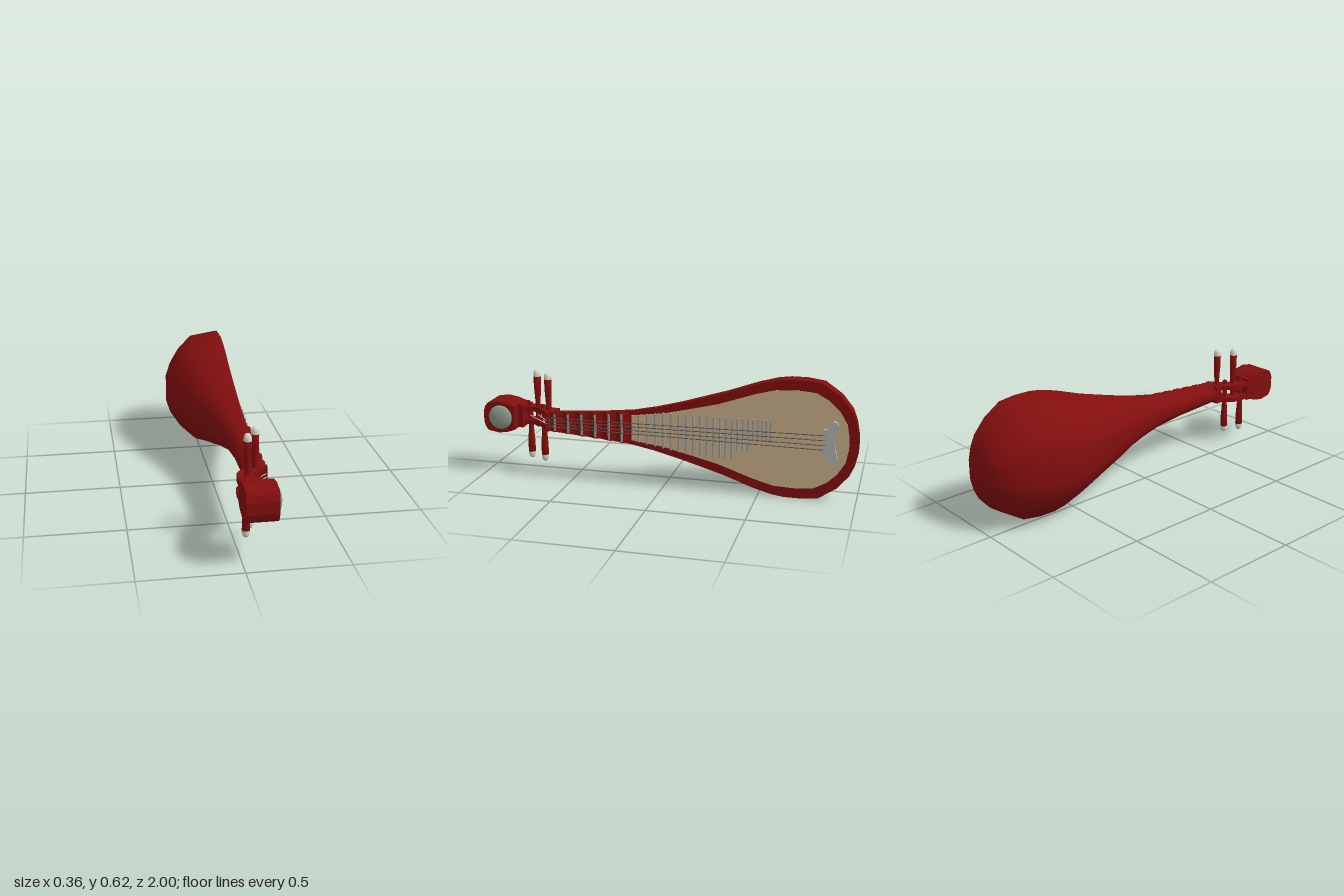
import * as THREE from 'three';

const mat = (name, color, side = THREE.FrontSide) => {
  const m = new THREE.MeshStandardMaterial({ color, side });
  m.name = name;
  return m;
};

export function createModel() {
  const red = mat('red lacquer', 0x820e0e);
  const tan = mat('pale wood', 0xcbb28c);
  const silver = mat('silver grey', 0xb4b4b6);
  const fretGrey = mat('fret grey', 0x98989a);
  const ivory = mat('ivory', 0xdad6ca);
  const jade = mat('jade', 0x8c9a8c);
  const stringGrey = mat('string grey', 0x55544c);

  const root = new THREE.Group();
  root.name = 'lute';
  const MID = 0.31, FACE = 0.147;

  const add = (name, geometry, material, x = 0, y = 0, z = 0) => {
    const m = new THREE.Mesh(geometry, material);
    m.name = name;
    m.position.set(x, y, z);
    root.add(m);
    return m;
  };
  const box = (name, material, x0, x1, y0, y1, z0, z1) =>
    add(name, new THREE.BoxGeometry(x1 - x0, y1 - y0, z1 - z0), material,
      (x0 + x1) / 2, (y0 + y1) / 2, (z0 + z1) / 2);
  // outline in [z, y], thickened along +x from x0
  const slab = (name, material, pts, x0, x1) => {
    const shape = new THREE.Shape(pts.map(([z, y]) => new THREE.Vector2(-z, y)));
    const g = new THREE.ExtrudeGeometry(shape, { depth: x1 - x0, bevelEnabled: false });
    return add(name, g.rotateY(Math.PI / 2), material, x0, 0, 0);
  };
  // outline in [x, z], thickened along +y from y0
  const plank = (name, material, pts, y0, y1) => {
    const shape = new THREE.Shape(pts.map(([x, z]) => new THREE.Vector2(x, -z)));
    const g = new THREE.ExtrudeGeometry(shape, { depth: y1 - y0, bevelEnabled: false });
    return add(name, g.rotateX(-Math.PI / 2), material, 0, y0, 0);
  };
  const rod = (name, material, a, b, r) => {
    const p = new THREE.Vector3(...a), q = new THREE.Vector3(...b);
    const m = add(name, new THREE.CylinderGeometry(r, r, p.distanceTo(q), 6), material);
    m.position.copy(p).add(q).multiplyScalar(0.5);
    m.quaternion.setFromUnitVectors(new THREE.Vector3(0, 1, 0), q.sub(p).normalize());
  };
  // mirrored closed outline from [z, half width]
  const mirrored = (half) => [
    ...half.map(([z, w]) => [z, MID + w]),
    ...half.slice().reverse().map(([z, w]) => [z, MID - w]),
  ];

  // Bowl and neck: stations of z, half width, back depth
  const stations = [
    [-1, 0.001, 0.14], [-1, 0.05, 0.08], [-0.985, 0.115, 0.02], [-0.96, 0.17, -0.05],
    [-0.9, 0.24, -0.1], [-0.81, 0.3, -0.147], [-0.72, 0.31, -0.17], [-0.635, 0.309, -0.178],
    [-0.57, 0.3, -0.172], [-0.47, 0.272, -0.153], [-0.32, 0.218, -0.11], [-0.185, 0.178, -0.065],
    [-0.08, 0.148, -0.02], [0.05, 0.115, 0.015], [0.175, 0.09, 0.04], [0.345, 0.073, 0.055],
    [0.64, 0.052, 0.055], [0.64, 0.052, 0.055], [0.64, 0.001, 0.14],
  ];
  const quarter = [[1, 0], [0.99, 0.1], [0.92, 0.54], [0.66, 0.79], [0.43, 0.93], [0.21, 1]];
  const section = [...quarter, ...quarter.slice().reverse().map(([w, d]) => [-w, d])];
  const pos = [], idx = [], n = section.length;
  stations.forEach(([z, w, back], i) => {
    section.forEach(([fw, fd], j) => {
      pos.push(FACE - (FACE - back) * fd, MID + w * fw, z);
      if (i < stations.length - 1 && j < n - 1) {
        const a = i * n + j;
        idx.push(a, a + 1, a + n, a + 1, a + n + 1, a + n);
      }
    });
  });
  const bowl = new THREE.BufferGeometry();
  bowl.setAttribute('position', new THREE.Float32BufferAttribute(pos, 3));
  bowl.setIndex(idx);
  bowl.computeVertexNormals();
  add('bowl and neck back', bowl, red);
  slab('front rim', red, mirrored(stations.slice(1, 17)), FACE - 0.002, FACE);

  // Soundboard
  const board = [[0.17, 0.068], [0, 0.09], [-0.12, 0.118], [-0.29, 0.16], [-0.47, 0.222],
    [-0.58, 0.252], [-0.7, 0.257], [-0.78, 0.25], [-0.85, 0.212], [-0.9, 0.165],
    [-0.94, 0.1], [-0.953, 0.03]];
  slab('soundboard', tan, mirrored(board), FACE, FACE + 0.003);

  // Neck ridges with pale crests
  [0.22, 0.29, 0.365, 0.44, 0.515, 0.59].forEach((z) => {
    const w = 0.083 - (z - 0.2) * 0.082;
    plank('neck ridge', red, [[0.146, z - 0.036], [0.163, z - 0.006], [0.163, z + 0.006],
      [0.146, z + 0.036]], MID - w, MID + w);
    box('ridge crest', fretGrey, 0.162, 0.166, MID - w + 0.006, MID + w - 0.006, z - 0.006, z + 0.006);
  });
  box('nut', red, 0.14, 0.166, MID - 0.05, MID + 0.05, 0.622, 0.642);

  // Soundboard frets, closer and shorter toward the bridge
  for (let i = 0; i < 22; i++) {
    const t = i / 21, z = 0.13 - 0.69 * (1.4 * t - 0.4 * t * t);
    const reach = 0.073 + Math.max(0, 0.13 - z) * 0.17;
    const low = z > -0.37 ? 0.19 : z > -0.45 ? 0.235 : 0.29;
    box('fret', fretGrey, FACE, 0.164, Math.max(low, MID - reach), Math.min(0.405, MID + reach),
      z - 0.004, z + 0.004);
  }

  // Bridge
  slab('bridge', silver, [[-0.845, 0.24], [-0.845, 0.385], [-0.858, 0.41], [-0.872, 0.425],
    [-0.89, 0.42], [-0.9, 0.4], [-0.893, 0.37], [-0.885, 0.345], [-0.885, 0.285], [-0.895, 0.255],
    [-0.9, 0.225], [-0.89, 0.203], [-0.872, 0.2], [-0.855, 0.215]], FACE, 0.17);
  box('bridge foot', silver, FACE, 0.165, 0.24, 0.38, -0.847, -0.823);

  // Open peg box: two cheeks joined at both ends
  const cheek = [[0.055, 0.6], [0.055, 0.64], [0.025, 0.675], [0.005, 0.705], [0, 0.74], [0, 0.83],
    [0.07, 0.83], [0.07, 0.745], [0.08, 0.715], [0.15, 0.642], [0.15, 0.6]];
  plank('peg box cheek', red, cheek, 0.262, 0.288);
  plank('peg box cheek', red, cheek, 0.335, 0.361);

  // Head with jade boss
  box('head collar', red, 0, 0.105, 0.252, 0.378, 0.795, 0.86);
  slab('head', red, [[0.825, 0.25], [0.825, 0.38], [0.86, 0.393], [0.915, 0.402], [0.975, 0.392],
    [0.99, 0.375], [1, 0.345], [1, 0.285], [0.99, 0.255], [0.975, 0.238], [0.915, 0.228],
    [0.86, 0.237]], -0.002, 0.152);
  const boss = add('head boss', new THREE.SphereGeometry(0.066, 28, 18), jade, 0.15, 0.315, 0.905);
  boss.scale.x = 0.41;

  // Tuning pegs and strings
  const pegs = [[0.053, 0.725, 1], [0.103, 0.645, 1], [0.075, 0.685, -1], [0.04, 0.775, -1]];
  const shaft = [[0, -0.06], [0.013, -0.06], [0.013, 0.05], [0.015, 0.1], [0.019, 0.16],
    [0.0195, 0.22], [0, 0.22]].map((p) => new THREE.Vector2(...p));
  const tip = [[0.0195, 0.218], [0.0195, 0.23], [0.017, 0.243], [0.011, 0.252], [0, 0.255]]
    .map((p) => new THREE.Vector2(...p));
  pegs.forEach(([x, z, dir]) => {
    const peg = new THREE.Group();
    peg.name = 'tuning peg';
    [[shaft, red, 'peg shaft'], [tip, ivory, 'peg tip']].forEach(([profile, material, name]) => {
      const m = new THREE.Mesh(new THREE.LatheGeometry(profile, 16), material);
      m.name = name;
      peg.add(m);
    });
    peg.position.set(x, dir > 0 ? 0.312 : 0.318, z);
    if (dir < 0) peg.rotation.x = Math.PI;
    root.add(peg);
  });
  const stringY = [0.35, 0.324, 0.298, 0.274], nutY = [0.335, 0.32, 0.303, 0.288];
  const order = [1, 0, 3, 2];
  stringY.forEach((y, i) => {
    const [px, pz] = pegs[order[i]];
    rod('string', stringGrey, [0.166, y, -0.835], [0.169, nutY[i], 0.632], 0.0022);
    rod('string end', ivory, [0.169, nutY[i], 0.632], [px + 0.012, 0.33 - i * 0.011, pz], 0.0022);
  });

  return root;
}
